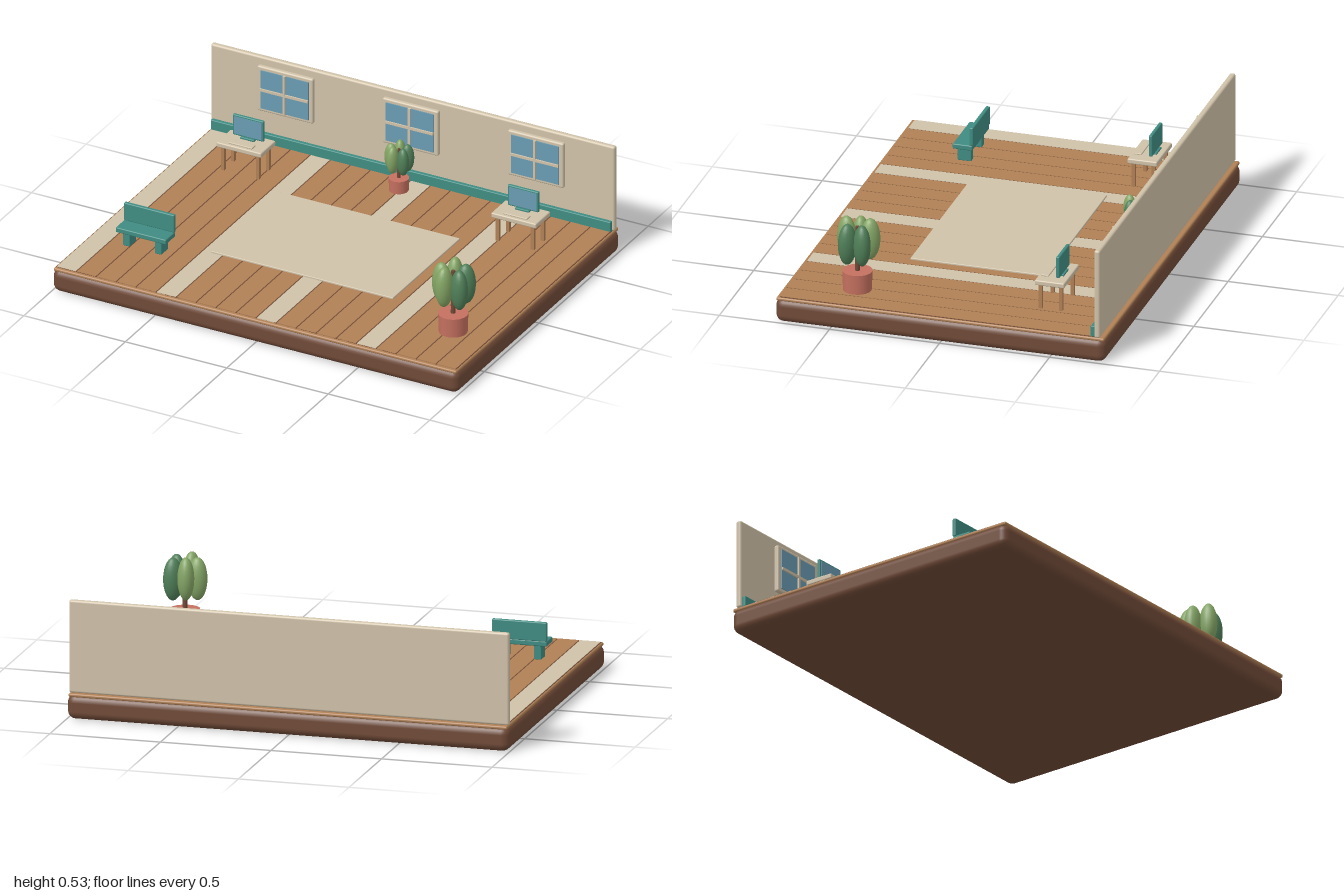
import * as THREE from 'three';
import { RoundedBoxGeometry } from 'three/addons/geometries/RoundedBoxGeometry.js';

const mat = (name, color) => {
  const m = new THREE.MeshStandardMaterial({ color });
  m.name = name;
  return m;
};

export function createModel() {
  const cream = mat('cream', 0xd0c2a9);
  const wood = mat('wood', 0xb08055);
  const darkWood = mat('dark wood', 0x704a37);
  const teal = mat('teal', 0x3f8c82);
  const glass = mat('glass blue', 0x6a9bb2);
  const clay = mat('terracotta', 0xc4705f);
  const lightLeaf = mat('light green', 0x84a565);
  const darkLeaf = mat('dark green', 0x4f7f58);

  const model = new THREE.Group();
  model.name = 'room';

  const group = (name, x = 0, y = 0, z = 0, parent = model) => {
    const g = new THREE.Group();
    g.name = name;
    g.position.set(x, y, z);
    parent.add(g);
    return g;
  };
  const add = (parent, name, geometry, material, x, y, z) => {
    const m = new THREE.Mesh(geometry, material);
    m.name = name;
    m.position.set(x, y, z);
    parent.add(m);
    return m;
  };
  // Box centred at x, y, z; rounded when r > 0
  const box = (parent, name, material, [w, h, d], [x, y, z], r = 0) =>
    add(parent, name, r ? new RoundedBoxGeometry(w, h, d, 3, r) : new THREE.BoxGeometry(w, h, d), material, x, y, z);

  // Base and floor
  box(model, 'base', darkWood, [2, 0.11, 1.5], [0, 0.055, 0], 0.035);
  box(model, 'floorSlab', wood, [1.985, 0.016, 1.49], [0, 0.108, 0], 0.007);
  box(model, 'floorSeams', darkWood, [1.97, 0.003, 1.43], [0, 0.1165, 0.015]);
  const planks = group('planks');
  const pitch = 0.0985;
  for (let i = 0; i < 20; i++) {
    box(planks, 'plank', i % 5 ? wood : cream, [pitch - 0.006, 0.006, 1.43],
      [-0.985 + pitch * (i + 0.5), 0.117, 0.015]);
  }
  box(model, 'rug', cream, [0.895, 0.01, 0.615], [-0.003, 0.123, -0.002], 0.003);

  // Back wall with skirting
  box(model, 'wall', cream, [1.99, 0.415, 0.027], [0, 0.3225, -0.713], 0.01);
  box(model, 'skirting', teal, [1.97, 0.05, 0.02], [0, 0.141, -0.691], 0.004);

  // Windows
  for (const x of [-0.617, 0, 0.617]) {
    const w = group('window', x, 0.385, -0.69);
    box(w, 'frame', cream, [0.275, 0.22, 0.024], [0, 0, 0], 0.008);
    box(w, 'pane', glass, [0.236, 0.186, 0.008], [0, 0, 0.013]);
    box(w, 'uprightBar', cream, [0.012, 0.19, 0.012], [0, 0, 0.018]);
    box(w, 'crossBar', cream, [0.236, 0.012, 0.012], [0, 0, 0.018]);
  }

  // Desks with monitor and keyboard
  for (const x of [-0.677, 0.677]) {
    const d = group('desk', x, 0, -0.433);
    box(d, 'deskTop', cream, [0.222, 0.024, 0.135], [0, 0.246, 0], 0.006);
    for (const sx of [-1, 1]) for (const sz of [-1, 1]) {
      box(d, 'deskLeg', wood, [0.016, 0.118, 0.016], [sx * 0.086, 0.177, sz * 0.046]);
    }
    box(d, 'monitorFoot', teal, [0.07, 0.01, 0.034], [0, 0.262, -0.026], 0.003);
    box(d, 'monitorStem', teal, [0.018, 0.03, 0.012], [0, 0.277, -0.026]);
    box(d, 'monitor', teal, [0.152, 0.1, 0.016], [0, 0.314, -0.027], 0.005);
    box(d, 'screen', glass, [0.136, 0.084, 0.004], [0, 0.314, -0.019]);
    box(d, 'keyboard', cream, [0.118, 0.008, 0.034], [0, 0.261, 0.036], 0.003);
  }

  // Bench facing the front
  const bench = group('bench', -0.726, 0, 0.395);
  box(bench, 'benchSeat', teal, [0.248, 0.024, 0.09], [0, 0.195, 0], 0.005);
  box(bench, 'benchBack', teal, [0.248, 0.086, 0.018], [0, 0.249, -0.04], 0.005);
  for (const s of [-1, 1]) {
    box(bench, 'benchLeg', teal, [0.034, 0.068, 0.062], [s * 0.078, 0.153, 0], 0.004);
  }

  // Potted plants: five upright leaves around a trunk
  const leafShape = new THREE.SphereGeometry(1, 20, 14);
  const plant = (x, z, scale) => {
    const p = group('plant', x, 0.118, z);
    p.scale.setScalar(scale);
    add(p, 'pot', new THREE.CylinderGeometry(0.066, 0.063, 0.092, 28), clay, 0, 0.046, 0);
    add(p, 'trunk', new THREE.CylinderGeometry(0.009, 0.011, 0.22, 12), darkWood, 0, 0.19, 0);
    for (let i = 0; i < 5; i++) {
      const a = THREE.MathUtils.degToRad(34 + 72 * i);
      const leaf = add(p, 'leaf', leafShape, i === 0 || i === 4 ? darkLeaf : lightLeaf,
        0.056 * Math.cos(a), i % 2 ? 0.24 : 0.23, 0.056 * Math.sin(a));
      leaf.scale.set(0.044, 0.096, 0.037);
      leaf.rotation.y = -a;
    }
  };
  plant(0.81, 0.432, 1);
  plant(-0.005, -0.585, 0.68);

  return model;
}
